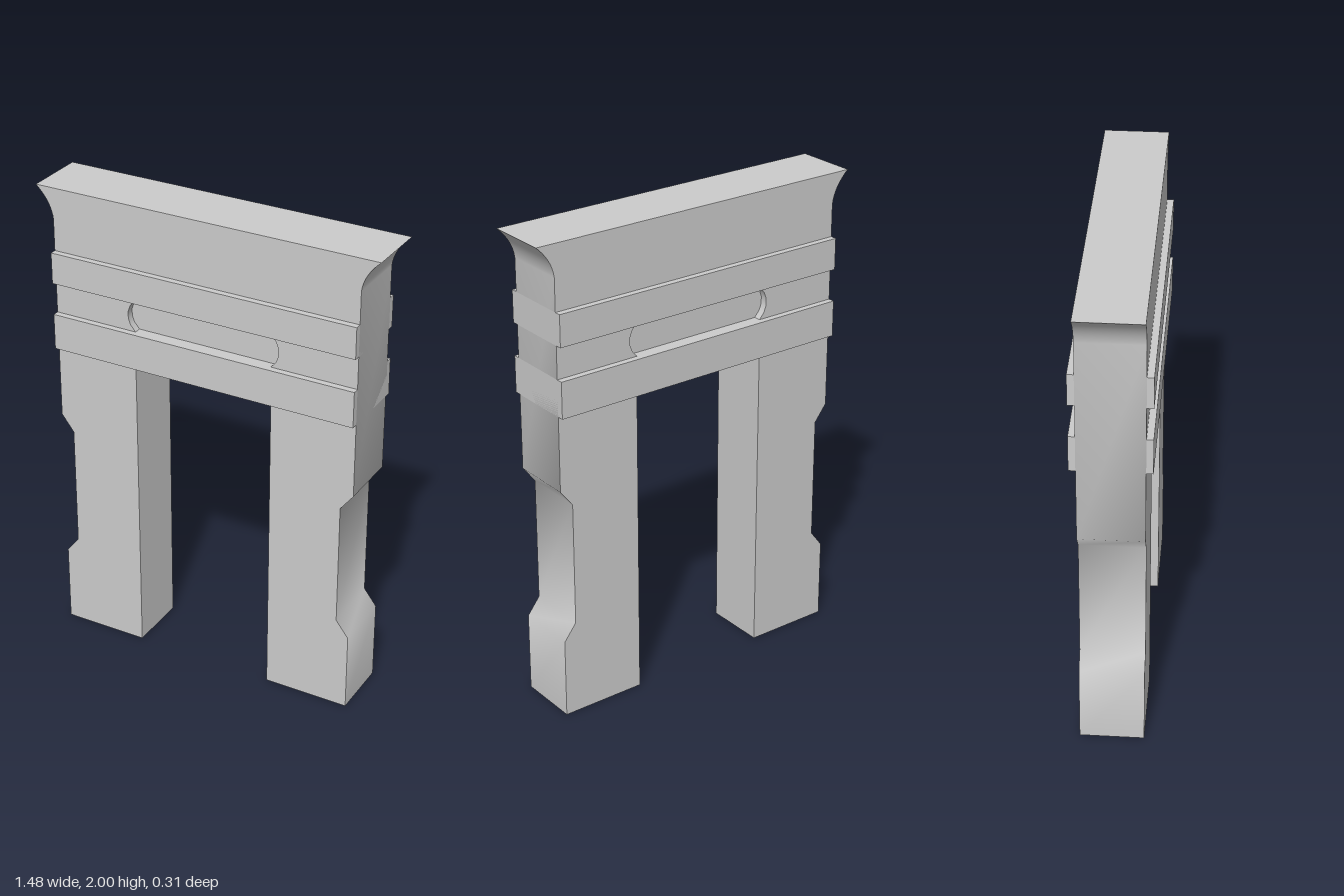
import * as THREE from 'three';
import { toCreasedNormals } from 'three/addons/utils/BufferGeometryUtils.js';

const DEPTH = 0.26;      // thickness of the gate
const HALF = 0.665;      // half width of the gate
const BAND = 0.157;      // half depth of the raised bands
const RECESS = 0.03;     // depth of the sunken panel

export function createModel() {
  const gate = new THREE.Group();
  gate.name = 'gate';
  const material = new THREE.MeshStandardMaterial({ color: 0xcccccc });

  const add = (name, geometry, y = 0) => {
    const mesh = new THREE.Mesh(geometry, material);
    mesh.name = name;
    mesh.position.y = y;
    gate.add(mesh);
  };

  // Right half of the outline, from the inner corner of the doorway to the top
  const flare = new THREE.QuadraticBezierCurve(
    new THREE.Vector2(HALF, 1.87),
    new THREE.Vector2(HALF + 0.008, 1.94),
    new THREE.Vector2(0.74, 2)
  );
  const half = [
    [0.302, 1.315], [0.302, 0], [HALF, 0], [HALF, 0.337], [0.611, 0.407],
    [0.611, 0.93], [HALF, 1.0],
  ].map(([x, y]) => new THREE.Vector2(x, y)).concat(flare.getPoints(10));
  const mirrored = half.map((p) => new THREE.Vector2(-p.x, p.y)).reverse();
  const outline = new THREE.Shape([...half, ...mirrored]);

  // Slot with bowed ends, cut through the frieze
  const bow = [[0.3, 1.467], [0.322, 1.493], [0.332, 1.52], [0.332, 1.55], [0.322, 1.577], [0.3, 1.603]];
  outline.holes.push(new THREE.Path([
    ...bow.map(([x, y]) => new THREE.Vector2(x, y)),
    ...bow.map(([x, y]) => new THREE.Vector2(-x, y)).reverse(),
  ]));

  const body = new THREE.ExtrudeGeometry(outline, { depth: DEPTH, bevelEnabled: false });
  body.translate(0, 0, -DEPTH / 2);
  add('gateBody', toCreasedNormals(body, 0.75));

  // Panel filling the slot, sunken on both faces
  add('recessedPanel', new THREE.BoxGeometry(0.7, 0.16, DEPTH - 2 * RECESS), 1.535);

  // Raised bands on the front and back of the lintel
  for (const [name, bottom, top] of [['lowerBand', 1.315, 1.467], ['upperBand', 1.603, 1.735]]) {
    add(name, new THREE.BoxGeometry(HALF * 2, top - bottom, BAND * 2), (bottom + top) / 2);
  }

  return gate;
}
